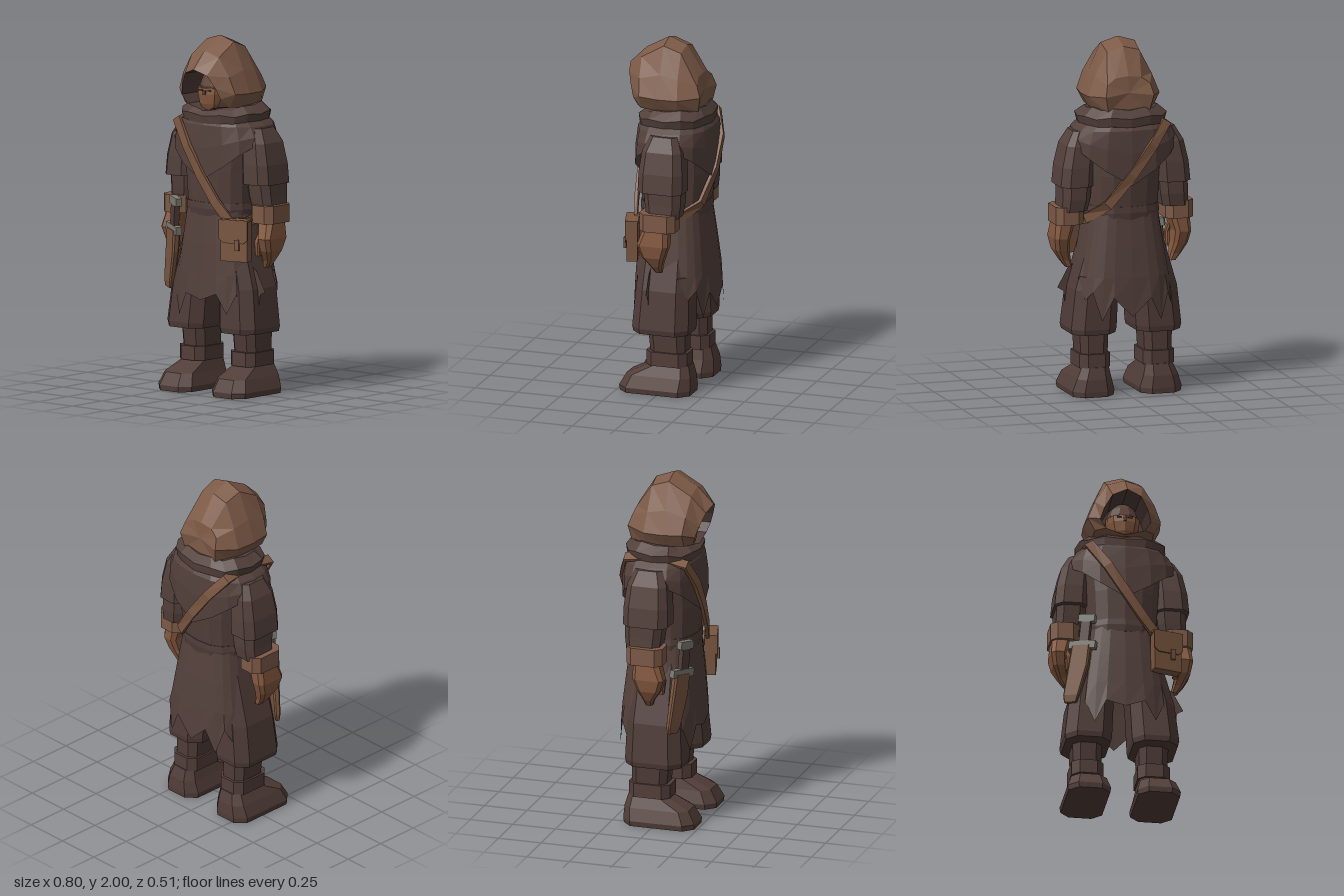
import * as THREE from 'three';

const mat = (name, color) =>
  new THREE.MeshStandardMaterial({ name, color, flatShading: true, side: THREE.DoubleSide });

// Skin a list of equal-length rings, with optional end caps
function loft(rings, capStart = true, capEnd = true) {
  const pos = [];
  const n = rings[0].length;
  const tri = (a, b, c) => pos.push(...a, ...b, ...c);
  for (let r = 0; r < rings.length - 1; r++) {
    for (let i = 0; i < n; i++) {
      const j = (i + 1) % n, lo = rings[r], hi = rings[r + 1];
      tri(lo[i], lo[j], hi[j]);
      tri(lo[i], hi[j], hi[i]);
    }
  }
  const cap = (ring, flip) => {
    const c = [0, 1, 2].map(k => ring.reduce((s, p) => s + p[k], 0) / n);
    for (let i = 0; i < n; i++) {
      const a = ring[i], b = ring[(i + 1) % n];
      flip ? tri(c, b, a) : tri(c, a, b);
    }
  };
  if (capStart) cap(rings[0], true);
  if (capEnd) cap(rings[rings.length - 1], false);
  const g = new THREE.BufferGeometry();
  g.setAttribute('position', new THREE.Float32BufferAttribute(pos, 3));
  g.computeVertexNormals();
  return g;
}

// Chamfered rectangle ring: height, centre x/z, half sizes
function oct([y, cx, cz, hx, hz], s = 1) {
  const c = Math.min(hx, hz) * 0.45;
  return [[c - hx, hz], [hx - c, hz], [hx, hz - c], [hx, c - hz],
    [hx - c, -hz], [c - hx, -hz], [-hx, c - hz], [-hx, hz - c]]
    .map(([x, z]) => [cx * s + x, y, cz + z]);
}

// Squarish oval ring; y may be a number or a function of (index, angle)
function oval(y, rx, rz, cz, n = 16, p = 0.8) {
  const pw = v => Math.sign(v) * Math.abs(v) ** p;
  return Array.from({ length: n }, (_, i) => {
    const a = (i / n) * Math.PI * 2;
    return [rx * pw(Math.sin(a)), typeof y === 'function' ? y(i, a) : y, cz + rz * pw(Math.cos(a))];
  });
}

// Mirror a half ring (top to bottom) into a full one
const mirrorRing = half =>
  [...half, ...half.slice(1, -1).reverse().map(([x, y, z]) => [-x, y, z])];

// Flat outline from a few points
const outline = pts => new THREE.Shape(pts.map(p => new THREE.Vector2(...p)));

export function createModel() {
  const model = new THREE.Group();
  const cloth = mat('darkCloth', 0x53403b);
  const trouser = mat('trouserCloth', 0x4f3c38);
  const boot = mat('bootLeather', 0x523e39);
  const hoodCloth = mat('hoodCloth', 0x7d5a47);
  const leather = mat('tanLeather', 0x7a5640);
  const skin = mat('skin', 0x85593f);
  const shade = mat('browCloth', 0x5a4036);
  const metal = mat('dullMetal', 0x7d7a72);

  const add = (name, geo, material, parent = model) => {
    const m = new THREE.Mesh(geo, material);
    m.name = name;
    parent.add(m);
    return m;
  };
  const box = (name, size, at, material, parent) => {
    const m = add(name, new THREE.BoxGeometry(...size), material, parent);
    m.position.set(...at);
    return m;
  };

  // Limbs, mirrored left and right; the right foot stands slightly wider
  for (const [side, s, shift] of [['left', 1, 0], ['right', -1, -.012]]) {
    const limb = (part, rows, material) =>
      add(side + part, loft(rows.map(r => oct(r, s))), material);
    const leg = (...args) => { limb(...args).position.x = shift; };
    leg('Boot', [[0, .19, .028, .117, .205], [.03, .19, .028, .122, .208],
      [.1, .188, .01, .1, .187], [.165, .18, -.05, .078, .11]], boot);
    leg('AnkleWrap', [[.16, .18, -.035, .09, .12], [.24, .18, -.035, .09, .12]], boot);
    leg('Shin', [[.2, .18, -.04, .077, .1], [.4, .18, -.03, .085, .11]], trouser);
    leg('Trouser', [[.35, .183, -.005, .125, .16], [.38, .183, -.005, .132, .165],
      [.6, .165, -.01, .125, .155], [.95, .1, -.01, .09, .13]], trouser);
    limb('Sleeve', [[1.19, .283, -.03, .095, .13], [1.3, .275, -.03, .092, .128],
      [1.42, .258, -.03, .082, .115], [1.5, .235, -.03, .06, .08]], cloth);
    limb('Forearm', [[1.05, .295, -.045, .075, .095], [1.12, .285, -.045, .08, .105],
      [1.21, .28, -.04, .083, .11]], cloth);
    limb('Cuff', [[.975, .32, -.025, .08, .105], [1.075, .32, -.025, .08, .105]], hoodCloth);
    limb('Hand', [[.72, .302, -.015, .018, .02], [.76, .322, -.01, .03, .032],
      [.82, .345, 0, .04, .065], [.89, .353, 0, .045, .09], [.98, .335, -.015, .055, .075]], skin);
    limb('Thumb', [[.79, .3, .05, .015, .02], [.87, .305, .06, .02, .022],
      [.93, .325, .04, .025, .025]], skin);
  }

  // Ragged skirt of the tunic
  const hem = [.53, .57, .46, .57, .46, .58, .53, .68, .55, .6, .44, .57,
    .46, .56, .43, .58, .5, .6, .56, .62, .5, .56, .43, .56];
  add('raggedSkirt', loft([
    oval(i => hem[i], .28, .226, -.025, 24, .7), oval(.68, .262, .216, -.024, 24, .7),
    oval(.85, .232, .202, -.02, 24, .7), oval(1.04, .2, .182, -.016, 24, .7),
  ], false, false), cloth);

  // Torn strip hanging from the left hip
  add('tornStrip', new THREE.ShapeGeometry(outline(
    [[.23, .74], [.285, .7], [.345, .59], [.31, .57], [.3, .5], [.27, .57]])), cloth).position.z = .05;

  // Torso, belt, shoulder cape and scarf
  add('torso', loft([oval(1.02, .2, .182, -.016), oval(1.25, .213, .201, -.02),
    oval(1.5, .24, .195, -.022)]), cloth);
  add('belt', loft([oval(1.0, .207, .188, -.016), oval(1.04, .212, .193, -.016),
    oval(1.075, .206, .19, -.016)]), trouser);
  add('shoulderCape', loft([
    oval((i, a) => 1.2 + .22 * Math.abs(Math.sin(a)), .31, .218, -.022),
    oval((i, a) => 1.38 + .08 * Math.abs(Math.sin(a)), .305, .217, -.024),
    oval(1.51, .275, .208, -.025), oval(1.58, .19, .17, -.02),
  ], false, true), cloth);
  const dip = (y, d) => (i, a) => y + .012 * (i % 2) - d * Math.max(0, Math.cos(a));
  add('scarf', loft([oval(dip(1.5, .015), .195, .17, -.02),
    oval(dip(1.525, .015), .242, .2, -.022),
    oval(dip(1.575, .015), .255, .205, -.022),
    oval(dip(1.62, .035), .2, .17, -.022)]), cloth);

  // Head with wrapped brow, lower face and eyes
  const head = add('head', new THREE.SphereGeometry(.1, 10, 7), shade);
  head.scale.set(.95, 1.2, 1);
  head.position.set(0, 1.7, .06);
  add('lowerFace', loft([oval(1.575, .045, .07, .07, 10), oval(1.625, .08, .1, .06, 10),
    oval(1.68, .093, .108, .06, 10), oval(1.715, .095, .104, .06, 10)]), skin);
  for (const s of [-1, 1]) box('eye', [.028, .008, .006], [s * .03, 1.703, .164], trouser);
  box('nose', [.018, .025, .012], [0, 1.69, .166], shade);

  // Hood, lofted from the face opening to the back
  const rim = mirrorRing([[0, 1.83, .26], [.08, 1.8, .24], [.122, 1.73, .215],
    [.142, 1.67, .195], [.11, 1.62, .18], [0, 1.59, .175]]);
  add('hood', loft([
    rim,
    mirrorRing([[0, 1.925, .165], [.1, 1.895, .16], [.168, 1.79, .15],
      [.205, 1.695, .14], [.165, 1.62, .14], [0, 1.59, .14]]),
    mirrorRing([[0, 2, .03], [.1, 1.97, .03], [.168, 1.82, .03],
      [.215, 1.69, .03], [.17, 1.61, .03], [0, 1.59, .03]]),
    mirrorRing([[0, 1.96, -.075], [.095, 1.935, -.07], [.165, 1.8, -.075],
      [.208, 1.69, -.085], [.165, 1.6, -.08], [0, 1.595, -.08]]),
    mirrorRing([[0, 1.81, -.17], [.075, 1.8, -.165], [.125, 1.765, -.175],
      [.14, 1.7, -.198], [.12, 1.61, -.18], [0, 1.6, -.18]]),
  ], false, true), hoodCloth);
  add('hoodLining', loft([rim,
    rim.map(([x, y]) => [x * .92, 1.7 + (y - 1.7) * .95, .02])], false, true), trouser);

  // Shoulder strap running round the body, as a closed flat band
  const path = [[-.2, 1.525, .165], [-.1, 1.385, .198], [0, 1.23, .2], [.1, 1.085, .187],
    [.18, .985, .165], [.225, .97, .07], [.22, 1.0, -.08], [.13, 1.09, -.203],
    [0, 1.26, -.243], [-.12, 1.42, -.238], [-.215, 1.54, -.185], [-.2, 1.56, 0]]
    .map(p => new THREE.Vector3(...p));
  const sections = path.map((p, i) => {
    const t = path[(i + 1) % path.length].clone().sub(path.at(i - 1)).normalize();
    const out = new THREE.Vector3(p.x * .5, p.y > 1.5 ? .15 : 0, p.z * 1.6);
    out.addScaledVector(t, -out.dot(t)).normalize();
    const w = t.clone().cross(out);
    return [[-1, -1], [-1, 1], [1, 1], [1, -1]].map(([a, b]) =>
      p.clone().addScaledVector(w, a * .027).addScaledVector(out, b * .01).toArray());
  });
  add('shoulderStrap', loft([...sections, sections[0]], false, false), leather);

  // Hip pouch
  const pouch = new THREE.Group();
  pouch.name = 'hipPouch';
  pouch.position.set(.23, .882, .165);
  pouch.rotation.y = .28;
  model.add(pouch);
  box('pouchBody', [.162, .23, .062], [0, 0, 0], leather, pouch);
  add('pouchFlap', new THREE.ExtrudeGeometry(outline(
    [[-.087, .118], [.087, .118], [.087, .01], [.06, -.012], [-.06, -.012], [-.087, .01]]),
    { depth: .009, bevelEnabled: false }), leather, pouch).position.z = .031;
  box('pouchTop', [.174, .01, .07], [0, .115, 0], leather, pouch);
  box('pouchToggle', [.026, .06, .014], [.025, -.02, .042], leather, pouch);

  // Sheathed dagger on the right hip
  const dagger = new THREE.Group();
  dagger.name = 'dagger';
  dagger.position.set(-.24, .9, .15);
  dagger.rotation.set(0, -.48, -.11, 'YXZ');
  model.add(dagger);
  add('sheath', loft([[-.34, -.03, 0, .036, .01], [-.3, -.028, 0, .046, .016],
    [-.12, -.005, 0, .058, .02], [0, 0, 0, .056, .022]].map(r => oct(r))), leather, dagger);
  box('guard', [.155, .045, .036], [.005, .005, 0], metal, dagger);
  box('grip', [.055, .14, .032], [.012, .09, 0], trouser, dagger);
  box('pommel', [.095, .045, .036], [.015, .165, 0], metal, dagger);

  return model;
}
